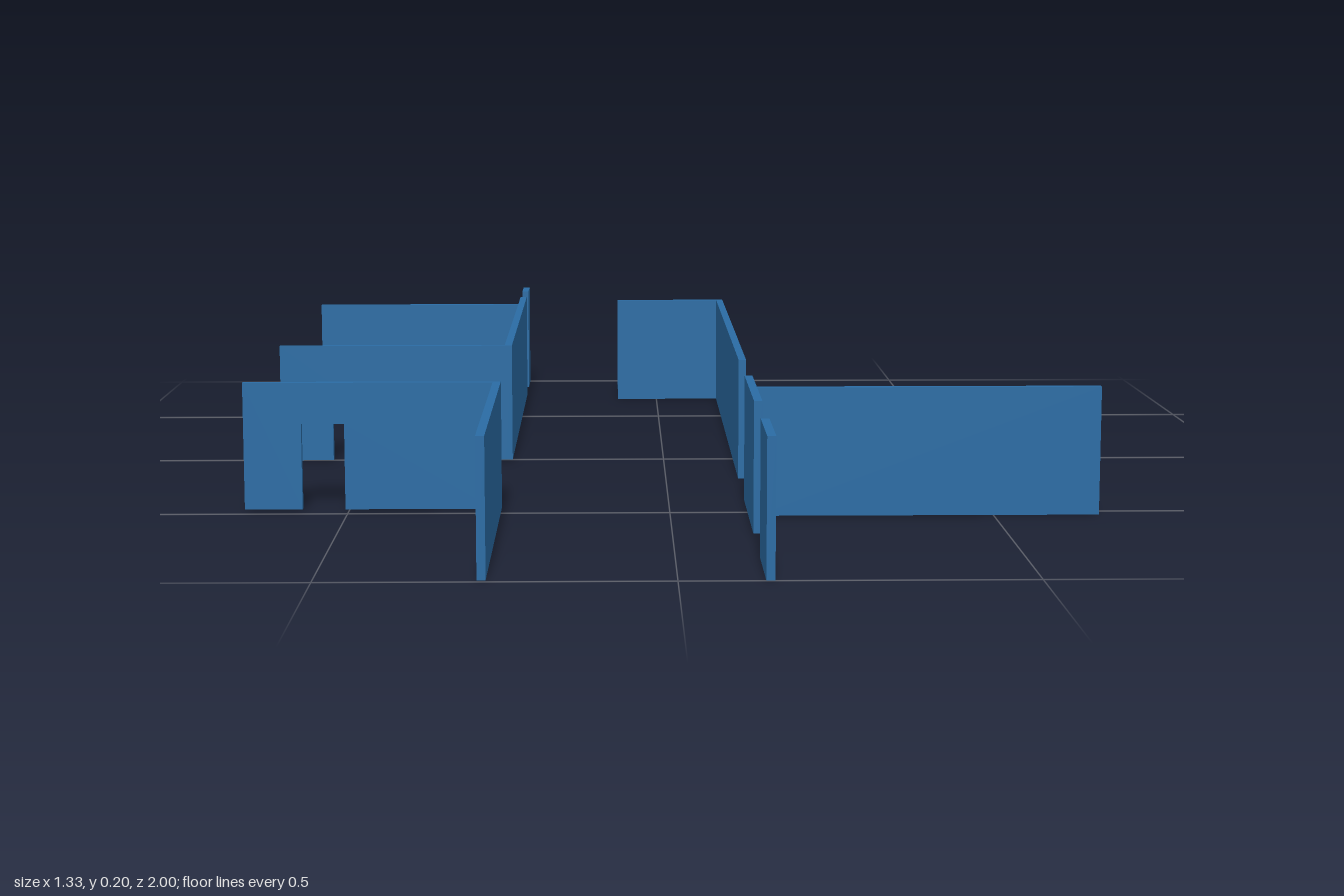
import * as THREE from 'three';

const H = 0.2;      // wall height
const T = 0.0125;   // wall thickness
const LX = -0.269;  // corridor wall on the -x side
const RX = 0.127;   // corridor wall on the +x side

export function createModel() {
  const group = new THREE.Group();
  const material = new THREE.MeshStandardMaterial({ color: 0x2a6ca4 });

  const add = (name, geometry, x, y, z) => {
    const mesh = new THREE.Mesh(geometry, material);
    mesh.name = name;
    mesh.position.set(x, y, z);
    group.add(mesh);
  };

  // Wall running front to back at x, from z0 to z1
  const longWall = (name, x, z0, z1) =>
    add(name, new THREE.BoxGeometry(T, H, z1 - z0), x, H / 2, (z0 + z1) / 2);

  // Wall running sideways at z, from x0 to x1
  const crossWall = (name, z, x0, x1) =>
    add(name, new THREE.BoxGeometry(x1 - x0, H, T), (x0 + x1) / 2, H / 2, z);

  // Sideways wall with a doorway open at the floor
  const doorWall = (name, z, x0, x1, d0, d1, doorHeight) => {
    const shape = new THREE.Shape([
      [x0, 0], [d0, 0], [d0, doorHeight], [d1, doorHeight],
      [d1, 0], [x1, 0], [x1, H], [x0, H],
    ].map(([x, y]) => new THREE.Vector2(x, y)));
    add(name, new THREE.ExtrudeGeometry(shape, { depth: T, bevelEnabled: false }), 0, 0, z - T / 2);
  };

  // Corridor walls, with gaps for the openings
  [[-1, -0.912], [-0.803, 0], [0.45, 0.99]]
    .forEach(([a, b], i) => longWall(`rightCorridorWall${i + 1}`, LX, a, b));
  [[-0.745, 0.198], [0.393, 0.67], [0.842, 1]]
    .forEach(([a, b], i) => longWall(`leftCorridorWall${i + 1}`, RX, a, b));

  // Room partitions butting against the corridor walls
  crossWall('backPartition', -0.665, -0.664, LX - T / 2);
  crossWall('corridorEndWall', -0.739, -0.078, RX - T / 2);
  crossWall('leftPartition', 0.523, RX + T / 2, 0.664);
  doorWall('middleDoorWall', -T / 2, -0.664, LX - T / 2, -0.574, -0.507, 0.135);
  doorWall('frontDoorWall', 0.45 + T / 2, -0.664, LX - T / 2, -0.574, -0.507, 0.135);

  return group;
}
